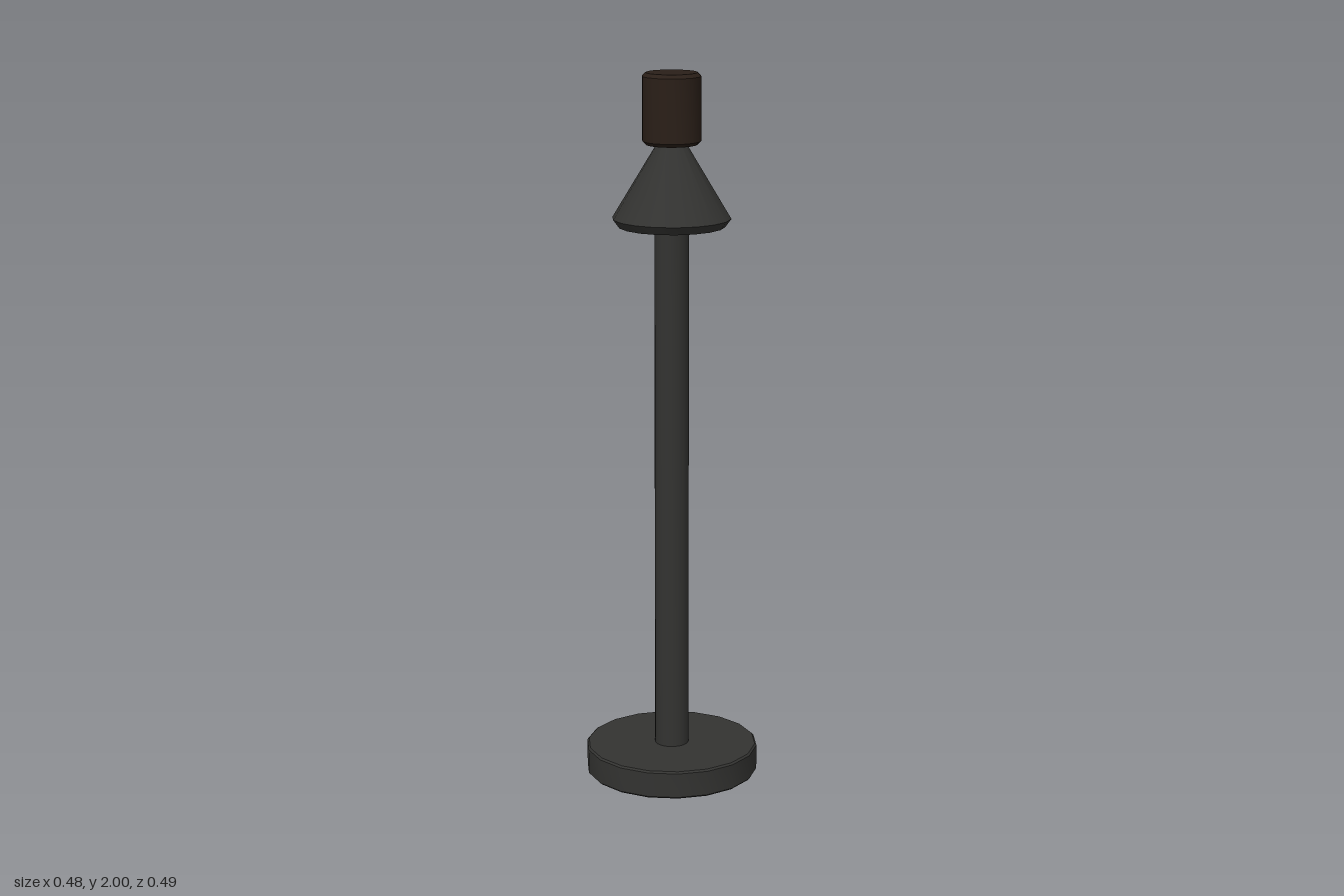
import * as THREE from 'three';
import { toCreasedNormals } from 'three/addons/utils/BufferGeometryUtils.js';

const SIDES = 18;
const metal = new THREE.MeshStandardMaterial({ color: 0x333331 });
const brown = new THREE.MeshStandardMaterial({ color: 0x2a1f18 });

// Turned part from [radius, height] pairs, bottom to top
function turned(name, profile, material) {
  const points = profile.map(([r, y]) => new THREE.Vector2(r, y));
  const geometry = toCreasedNormals(new THREE.LatheGeometry(points, SIDES), 0.5);
  const mesh = new THREE.Mesh(geometry, material);
  mesh.name = name;
  return mesh;
}

// Closed cylinder profile with a small bevel on both rims
function bevelledDisc(radius, bottom, top, bevel) {
  return [
    [0, bottom], [radius - bevel, bottom], [radius, bottom + bevel],
    [radius, top - bevel], [radius - bevel, top], [0, top],
  ];
}

export function createModel() {
  const group = new THREE.Group();
  group.name = 'post';
  group.add(
    // Round foot
    turned('base', bevelledDisc(0.245, 0, 0.08, 0.005), metal),
    // Upright, sunk a little into the foot and the cone
    turned('pole', bevelledDisc(0.048, 0.04, 1.62, 0.005), metal),
    // Cone collar with a chamfered lower rim, its tip hidden in the cap
    turned('cone', [[0, 1.58], [0.147, 1.58], [0.164, 1.603], [0.012, 1.855], [0, 1.86]], metal),
    // Cylindrical top
    turned('cap', bevelledDisc(0.081, 1.805, 2, 0.01), brown),
  );
  return group;
}
